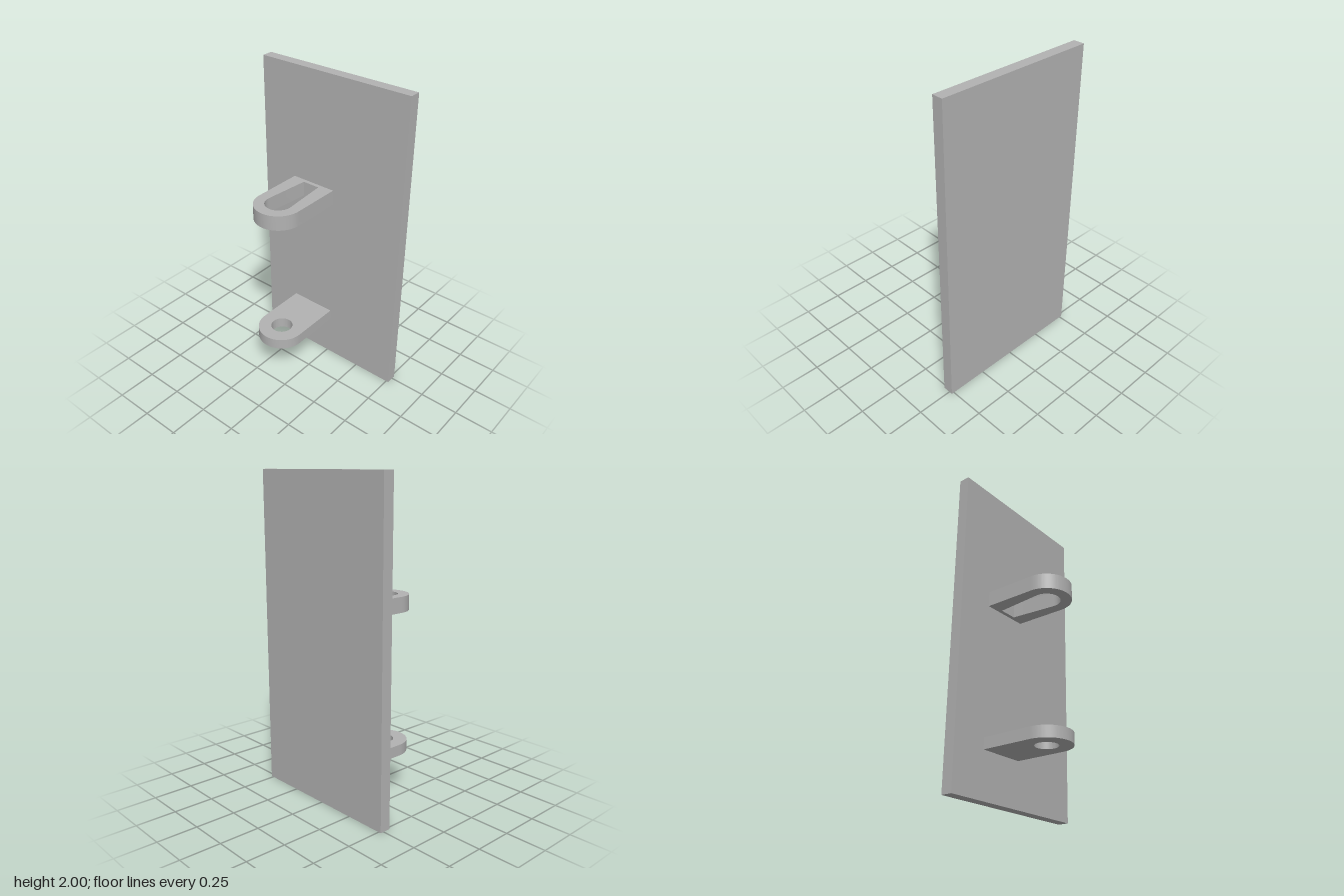
import * as THREE from 'three';
import { toCreasedNormals } from 'three/addons/utils/BufferGeometryUtils.js';

const PIN = { x: -0.12, z: -0.13 }; // centre of the hinge pin
const PLATE_X = 0.203; // inner face of the plate

// Round-nosed lug outline (shape y becomes world z)
function lugShape(hole) {
  const r = 0.152;
  const shape = new THREE.Shape();
  shape.moveTo(PLATE_X, PIN.z - r);
  shape.lineTo(PLATE_X, PIN.z + r);
  shape.lineTo(PIN.x, PIN.z + r);
  shape.absarc(PIN.x, PIN.z, r, Math.PI / 2, Math.PI * 1.5, false);
  shape.closePath();
  shape.holes.push(hole);
  return shape;
}

// Plain pin hole
function roundHole() {
  return new THREE.Path().absarc(PIN.x, PIN.z, 0.069, 0, Math.PI * 2, true);
}

// Slot that tapers from a round end towards the plate
function taperedSlot() {
  const tilt = 0.094, endX = 0.178, halfEnd = 0.057;
  const path = new THREE.Path();
  path.moveTo(endX, PIN.z - halfEnd);
  path.lineTo(endX, PIN.z + halfEnd);
  path.absarc(PIN.x, PIN.z, 0.085, Math.PI / 2 - tilt, Math.PI * 1.5 + tilt, false);
  path.closePath();
  return path;
}

function makeLug(name, hole, bottom, top, material) {
  let geometry = new THREE.ExtrudeGeometry(lugShape(hole), {
    depth: top - bottom, bevelEnabled: false, curveSegments: 32,
  });
  geometry.rotateX(Math.PI / 2); // extrusion now runs downwards
  geometry.translate(0, top, 0);
  geometry = toCreasedNormals(geometry, 0.35);
  const mesh = new THREE.Mesh(geometry, material);
  mesh.name = name;
  return mesh;
}

export function createModel() {
  const grey = new THREE.MeshStandardMaterial({ color: 0xb2b2b2 });
  grey.name = 'plain grey';
  const model = new THREE.Group();
  model.name = 'hingedPlate';

  // Upright plate
  const plate = new THREE.Mesh(new THREE.BoxGeometry(0.07, 2, 1.034), grey);
  plate.name = 'plate';
  plate.position.set(PLATE_X + 0.035, 1, 0);
  model.add(plate);

  // Hinge lugs
  model.add(makeLug('upperLug', taperedSlot(), 1.18, 1.276, grey));
  model.add(makeLug('lowerLug', roundHole(), 0.285, 0.355, grey));
  return model;
}
